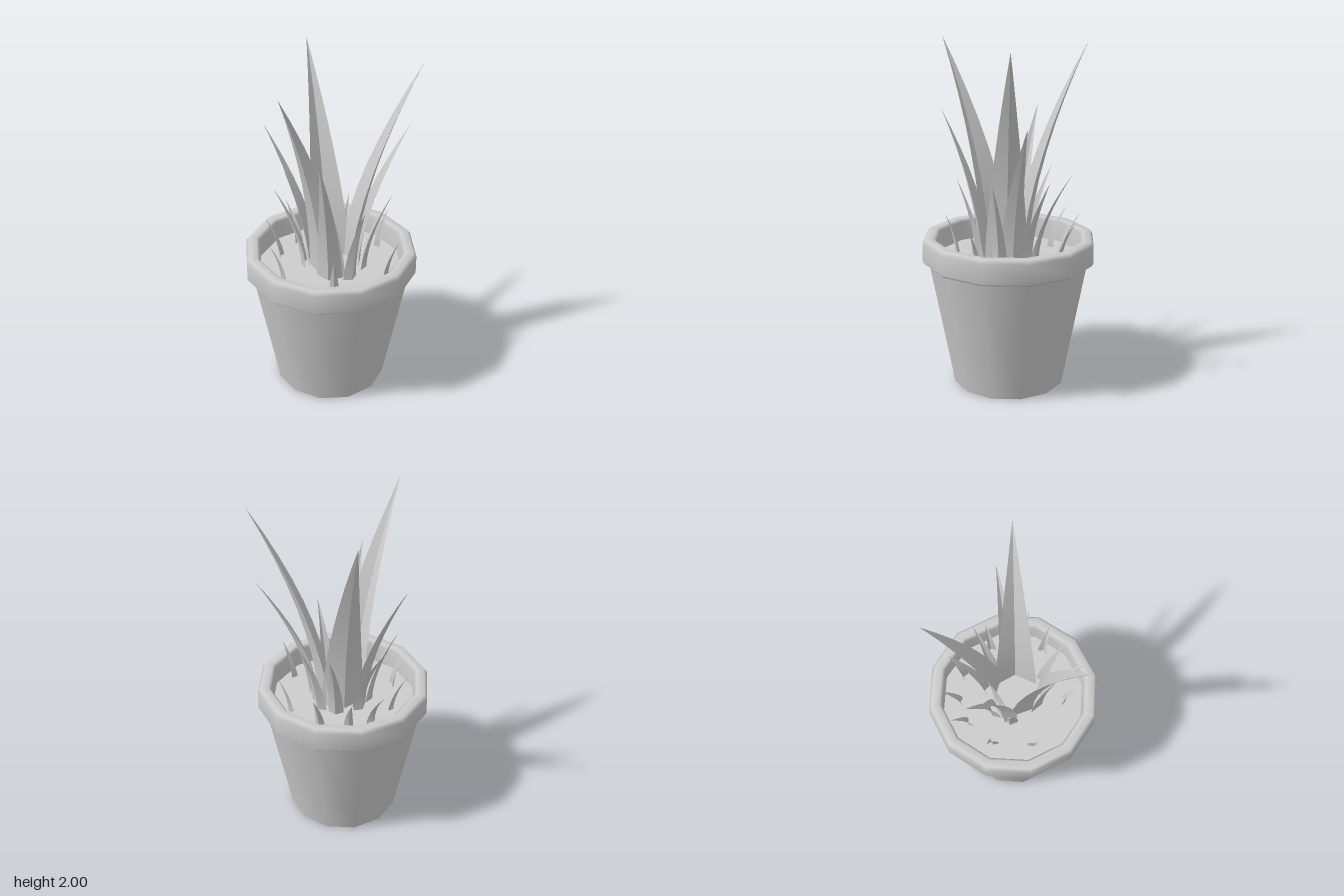
import * as THREE from 'three';

const SIDES = 12, SOIL_Y = 0.76;
// Middle of the leaf rosette
const CX = 0.015, CZ = 0.02;

// One leaf: an open V fold (left edge, keel, right edge) that curves outward and tapers to a tip
function leafGeometry(tipX, tipY, tipZ, halfWidth, keelRadius, fold, curl) {
  const steps = 8;
  const dx = tipX - CX, dz = tipZ - CZ, reach = Math.hypot(dx, dz);
  const ox = dx / reach, oz = dz / reach; // outward
  const sx = oz, sz = -ox;                // sideways
  const side = (sign) => {
    const pos = [], idx = [];
    for (let i = 0; i <= steps; i++) {
      const t = i / steps;
      const taper = 1 - Math.pow(t, 1.3);
      const out = keelRadius + (reach - keelRadius) * Math.pow(t, curl);
      const y = SOIL_Y - 0.01 + (tipY - SOIL_Y + 0.01) * t;
      const edge = out - fold * taper, w = sign * halfWidth * taper;
      pos.push(CX + ox * out, y, CZ + oz * out);
      pos.push(CX + ox * edge + sx * w, y, CZ + oz * edge + sz * w);
      if (i < steps) {
        const a = i * 2;
        if (sign > 0) idx.push(a, a + 1, a + 3, a, a + 3, a + 2);
        else idx.push(a, a + 3, a + 1, a, a + 2, a + 3);
      }
    }
    const g = new THREE.BufferGeometry();
    g.setAttribute('position', new THREE.Float32BufferAttribute(pos, 3));
    g.setIndex(idx);
    g.computeVertexNormals();
    return g;
  };
  return [side(1), side(-1)];
}

export function createModel() {
  const model = new THREE.Group();
  const grey = new THREE.MeshStandardMaterial({ color: 0xcccccc, side: THREE.DoubleSide });
  grey.name = 'plain grey';

  const add = (name, geometry, parent = model) => {
    const mesh = new THREE.Mesh(geometry, grey);
    mesh.name = name;
    parent.add(mesh);
    return mesh;
  };
  const lathe = (points) =>
    new THREE.LatheGeometry(points.map(([r, y]) => new THREE.Vector2(r, y)), SIDES);

  // Pot
  add('potWall', lathe([[0.325, 0], [0.465, 0.745]]));
  add('potBase', lathe([[0, 0], [0.325, 0]]));
  add('potRim', lathe([
    [0.455, 0.742], [0.488, 0.742], [0.503, 0.757], [0.503, 0.868], [0.486, 0.89],
    [0.44, 0.89], [0.424, 0.874], [0.42, 0.74],
  ]));
  add('soil', lathe([[0.42, SOIL_Y], [0, SOIL_Y]]));

  // Leaves in four rings, each listed by its tip position [x, z]
  const rings = [
    { name: 'tallLeaf', y: 2.0, half: 0.125, keel: 0.13, fold: 0.065, curl: 1.7,
      tips: [[0.02, -0.455], [0.5, 0.1], [-0.385, 0.31]] },
    { name: 'middleLeaf', y: 1.6, half: 0.075, keel: 0.165, fold: 0.045, curl: 1.7,
      tips: [[0.48, 0.005], [-0.305, -0.245], [-0.185, 0.35]] },
    { name: 'shortLeaf', y: 1.26, half: 0.045, keel: 0.19, fold: 0.03, curl: 1.7,
      tips: [[-0.18, -0.305], [-0.3, -0.11], [0.145, -0.335], [0.29, -0.17], [0.32, 0.16], [0.09, 0.315]] },
    { name: 'sprout', y: 1.01, half: 0.03, keel: 0.335, fold: 0.02, curl: 1.8,
      tips: [[-0.145, -0.39], [-0.325, -0.22], [-0.39, 0.06], [-0.105, 0.355], [0.31, 0.285],
        [0.395, -0.085], [0.24, -0.335], [0.04, -0.42]] },
  ];
  for (const ring of rings) {
    for (const [x, z] of ring.tips) {
      const leaf = new THREE.Group();
      leaf.name = ring.name;
      const reach = Math.hypot(x - CX, z - CZ);
      const keel = Math.min(ring.keel, reach - 0.06);
      leafGeometry(x, ring.y, z, ring.half, keel, ring.fold, ring.curl)
        .forEach((g, i) => add(ring.name + (i ? 'RightHalf' : 'LeftHalf'), g, leaf));
      model.add(leaf);
    }
  }
  return model;
}
